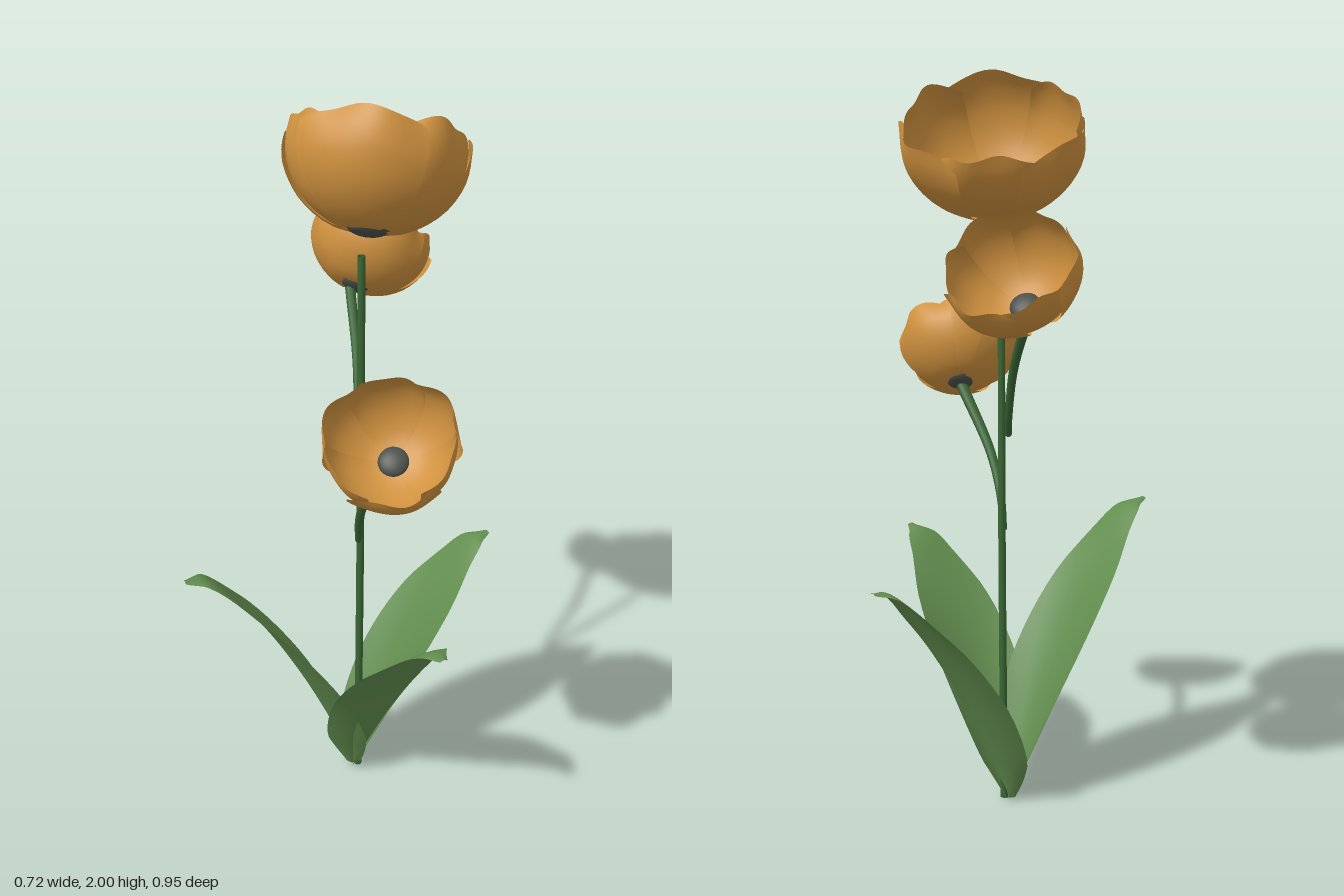
import * as THREE from 'three';

const V = (x, y, z) => new THREE.Vector3(x, y, z);
const mat = (color) => new THREE.MeshStandardMaterial({ color, side: THREE.DoubleSide });
const petalMat = mat(0xd0923f), leafMat = mat(0x628d4f), stemMat = mat(0x3a6635), budMat = mat(0x4a4f4a);

function mesh(geometry, material, name) {
  const m = new THREE.Mesh(geometry, material);
  m.name = name;
  return m;
}

// Smooth sheet: fn(u, v) with u in -1..1 across and v in 0..1 along
function sheet(fn, nu, nv) {
  const g = new THREE.PlaneGeometry(2, 1, nu, nv);
  const p = g.attributes.position;
  for (let i = 0; i < p.count; i++) {
    const q = fn(p.getX(i), p.getY(i) + 0.5);
    p.setXYZ(i, q.x, q.y, q.z);
  }
  g.computeVertexNormals();
  return g;
}

// Petal side profile: x = radius, y = height
const petalProfile = new THREE.CatmullRomCurve3([
  V(0.012, 0.004, 0), V(0.1, 0.02, 0), V(0.18, 0.076, 0),
  V(0.224, 0.15, 0), V(0.232, 0.212, 0), V(0.222, 0.264, 0),
]);

function petal(outer, seed) {
  const half = outer ? 0.8 : 0.7;
  return sheet((u, v) => {
    // rounded, ruffled tip
    const reach = 1 - 0.13 * Math.pow(Math.abs(u), 3) - 0.022 * (1 - Math.cos(6 * u + seed)) * v;
    const q = petalProfile.getPoint(Math.min(1, v * reach));
    const ruffle = 1 + v * v * v * (0.035 * Math.cos(u * Math.PI) + 0.04 * Math.sin(5 * u + seed * 2));
    // outer petals curl away at their edges
    const curl = outer ? 1.01 + 0.04 * u * u * v * v : 0.96;
    const r = q.x * curl * ruffle;
    const a = u * half * (1 - 0.12 * v * v);
    return V(Math.sin(a) * r, q.y + (outer ? 0 : 0.004), Math.cos(a) * r);
  }, 20, 16);
}

function flower(name, base, axis, scale, turn) {
  const g = new THREE.Group();
  g.name = name;
  for (let i = 0; i < 6; i++) {
    const outer = i % 2 === 0;
    const p = mesh(petal(outer, i * 1.7 + turn), petalMat, outer ? 'outerPetal' : 'innerPetal');
    p.rotation.y = turn + i * Math.PI / 3;
    g.add(p);
  }
  // dark flattened heart of the bloom
  const heart = mesh(new THREE.SphereGeometry(0.055, 24, 12), budMat, 'flowerCentre');
  heart.scale.y = 0.45;
  heart.position.y = 0.02;
  g.add(heart);
  g.position.copy(base);
  g.quaternion.setFromUnitVectors(V(0, 1, 0), axis.normalize());
  g.scale.setScalar(scale);
  return g;
}

// Leaf midrib (x = outward, y = up, normalised) and half-width along it
const midrib = new THREE.CatmullRomCurve3([
  V(0, 0.01, 0), V(0.1, 0.17, 0), V(0.33, 0.475, 0), V(0.61, 0.77, 0), V(0.87, 0.965, 0), V(1, 0.985, 0),
]);
const leafWidth = new THREE.CatmullRomCurve3([
  V(0, 0.016, 0), V(0.1, 0.066, 0), V(0.3, 0.108, 0), V(0.5, 0.126, 0),
  V(0.7, 0.113, 0), V(0.88, 0.067, 0), V(0.97, 0.032, 0), V(1, 0.01, 0),
]);

function leaf(base, tip) {
  const dist = Math.hypot(tip.x - base.x, tip.z - base.z), height = tip.y;
  const out = V((tip.x - base.x) / dist, 0, (tip.z - base.z) / dist);
  const side = V(out.z, 0, -out.x);
  return sheet((u, v) => {
    const c = midrib.getPoint(v), t = midrib.getTangent(v);
    const tx = t.x * dist, ty = t.y * height, len = Math.hypot(tx, ty);
    const w = leafWidth.getPoint(v).y;
    // cupped towards the stem at the base, edges curling down at the tip
    const cup = w * (0.78 - 1.15 * v) * u * u;
    return base.clone()
      .addScaledVector(out, c.x * dist - ty / len * cup)
      .addScaledVector(V(0, 1, 0), c.y * height + tx / len * cup)
      .addScaledVector(side, u * w);
  }, 16, 32);
}

function stem(points, r0, r1) {
  const curve = new THREE.CatmullRomCurve3(points);
  const g = new THREE.TubeGeometry(curve, 24, 1, 10);
  const p = g.attributes.position;
  // taper the tube along its length
  for (let i = 0; i < p.count; i++) {
    const k = Math.floor(i / 11) / 24, c = curve.getPointAt(k);
    const q = V(p.getX(i), p.getY(i), p.getZ(i)).sub(c).multiplyScalar(r0 + (r1 - r0) * k).add(c);
    p.setXYZ(i, q.x, q.y, q.z);
  }
  return g;
}

export function createModel() {
  const root = new THREE.Group();
  root.name = 'floweringPlant';

  // Stems
  root.add(
    mesh(stem([V(0.035, 0.01, 0.015), V(0.04, 0.8, 0.018), V(0.04, 1.61, 0.02)], 0.011, 0.01), stemMat, 'mainStem'),
    mesh(stem([V(0.022, 1.055, 0.018), V(0.019, 1.11, -0.025), V(0.002, 1.25, -0.11), V(-0.045, 1.42, -0.24)],
      0.009, 0.014), stemMat, 'backStem'),
    mesh(stem([V(0.036, 0.79, 0.02), V(0.045, 0.87, 0.06), V(0.076, 0.98, 0.125), V(0.165, 1.15, 0.24)],
      0.01, 0.016), stemMat, 'frontStem'),
  );

  // Blooms
  root.add(
    flower('topFlower', V(0.052, 1.66, 0.008), V(0.01, 0.87, -0.49), 1, 0),
    flower('backFlower', V(-0.036, 1.42, -0.235), V(0.21, 0.7, -0.68), 0.71, 0.4),
    flower('frontFlower', V(0.168, 1.155, 0.232), V(0.07, 0.7, 0.67), 0.71, 0.25),
  );

  // Leaves
  const base = V(0.022, 0, 0.015);
  [V(-0.355, 0.82, 0.345), V(0.335, 0.715, 0.4), V(0.355, 0.705, -0.265)].forEach((tip) => {
    root.add(mesh(leaf(base, tip), leafMat, 'leaf'));
  });
  return root;
}
